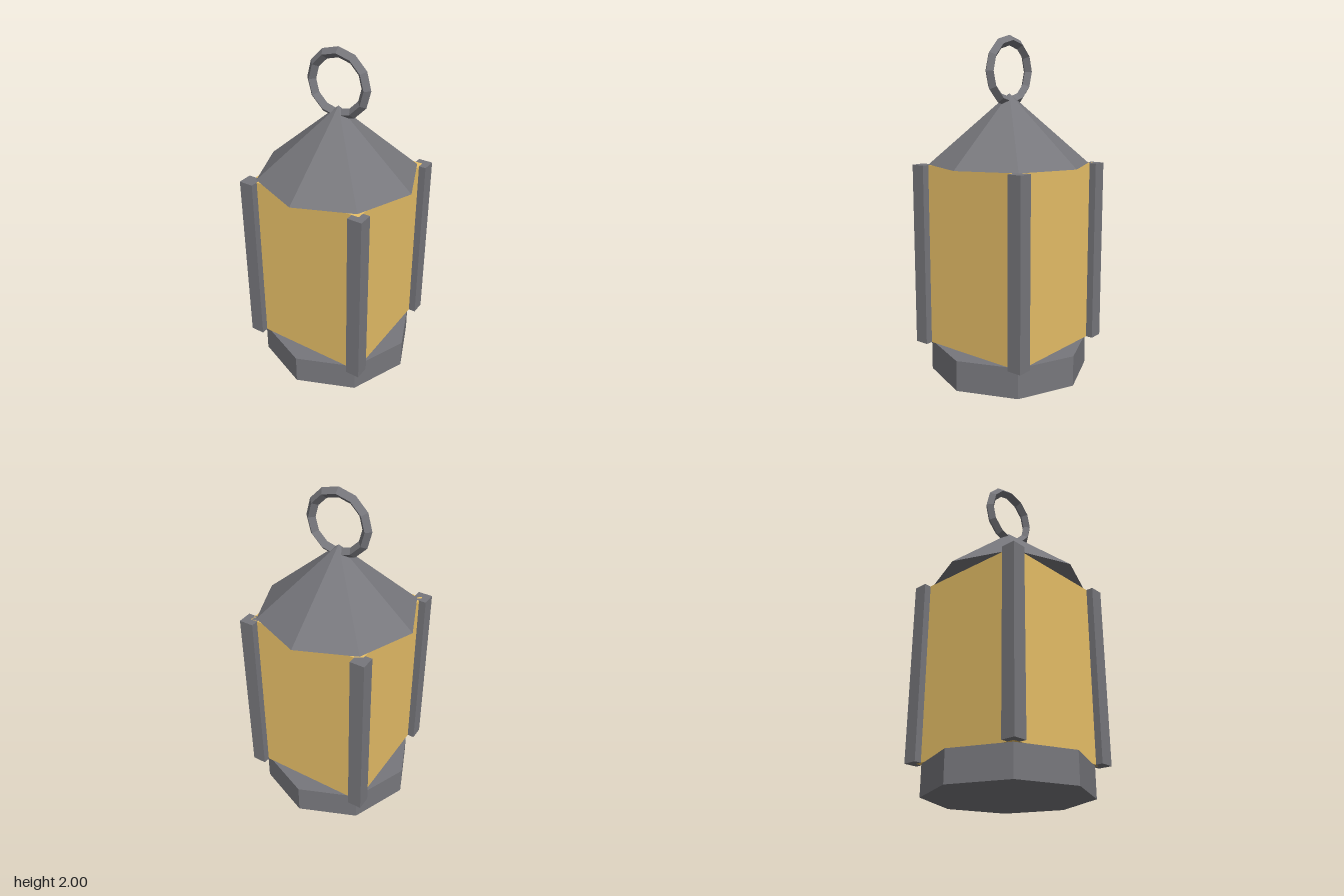
import * as THREE from 'three';

const metal = new THREE.MeshStandardMaterial({ color: 0x77777c, flatShading: true });
const amber = new THREE.MeshStandardMaterial({ color: 0xe8c068, flatShading: true });

const BASE_TOP = 0.18, EAVES = 1.26, PEAK = 1.67, RADIUS = 0.475;

export function createModel() {
  const lantern = new THREE.Group();
  lantern.name = 'lantern';

  const add = (name, geometry, material, x, y, z) => {
    const mesh = new THREE.Mesh(geometry, material);
    mesh.name = name;
    mesh.position.set(x, y, z);
    lantern.add(mesh);
  };

  // Octagonal base with corners on the axes
  add('base', new THREE.CylinderGeometry(RADIUS, RADIUS, BASE_TOP, 8), metal, 0, BASE_TOP / 2, 0);

  // Square glass body
  const bodyHeight = EAVES - BASE_TOP, bodyY = (EAVES + BASE_TOP) / 2;
  add('glass', new THREE.BoxGeometry(0.716, bodyHeight, 0.716), amber, 0, bodyY, 0);

  // Four corner posts
  const post = new THREE.BoxGeometry(0.086, bodyHeight, 0.086);
  for (const [sx, xName] of [[1, 'Left'], [-1, 'Right']]) {
    for (const [sz, zName] of [[1, 'front'], [-1, 'back']]) {
      add(`${zName}${xName}Post`, post, metal, sx * 0.358, bodyY, sz * 0.358);
    }
  }

  // Eight-sided pyramid roof
  add('roof', new THREE.ConeGeometry(RADIUS, PEAK - EAVES, 8), metal, 0, (PEAK + EAVES) / 2, 0);

  // Carrying ring with a diamond cross-section
  add('carryingRing', new THREE.TorusGeometry(0.175, 0.03, 4, 12), metal, 0, 1.795, 0);

  return lantern;
}
